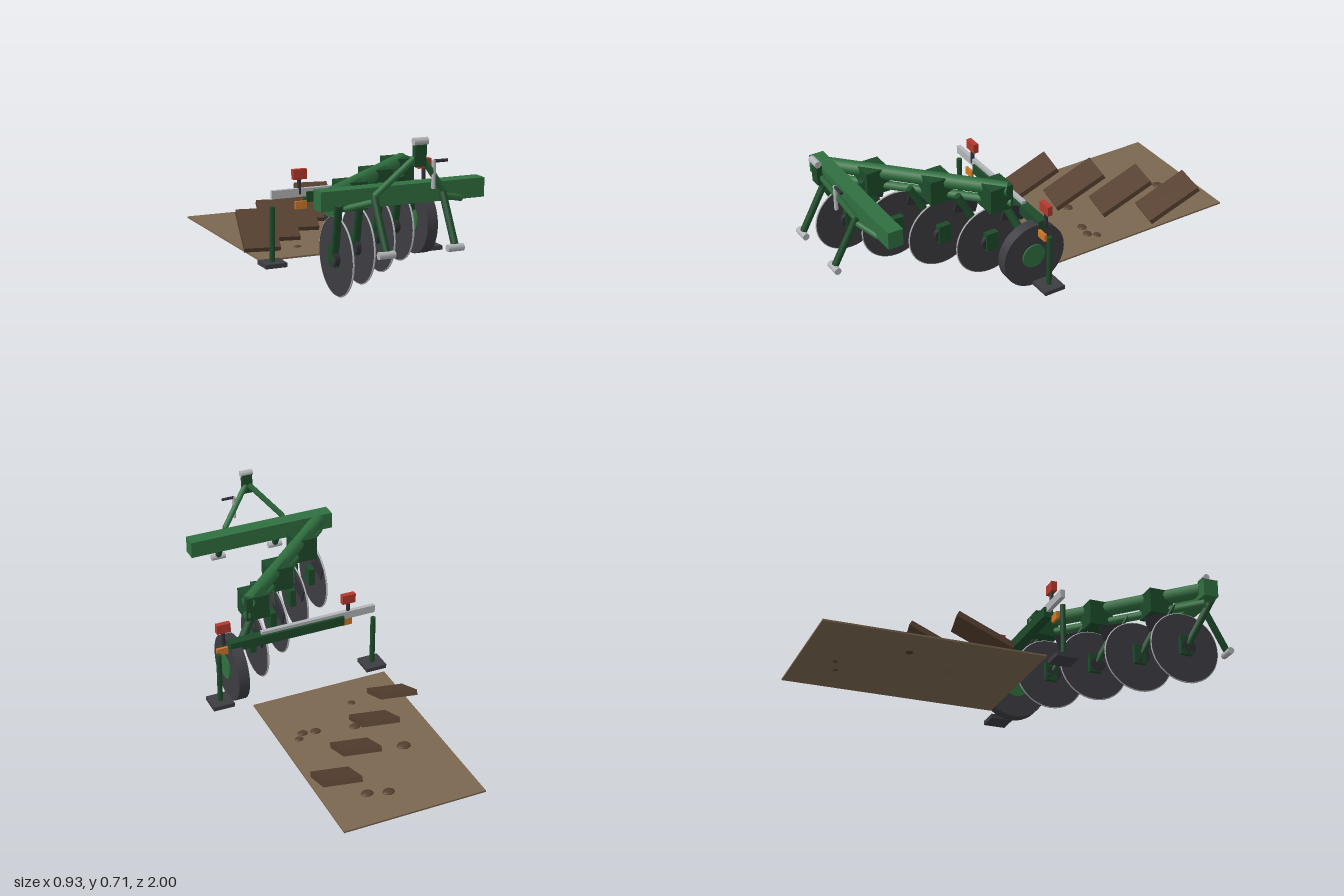
import * as THREE from 'three';

const mat = (name, color) => {
  const m = new THREE.MeshStandardMaterial({ color });
  m.name = name;
  return m;
};

export function createModel() {
  const root = new THREE.Group();
  root.name = 'discPlough';
  const green = mat('frame green', 0x2f6f3f), darkGreen = mat('dark green', 0x1d4a2a);
  const steel = mat('bare steel', 0xb2b5b8), discGrey = mat('disc grey', 0x3d3c42);
  const black = mat('dark iron', 0x2f2e35), red = mat('lamp red', 0xb5382c);
  const orange = mat('reflector orange', 0xd07828);
  const soil = mat('soil', 0x7b6750), turned = mat('turned soil', 0x553f2f);

  const add = (name, geo, m, x = 0, y = 0, z = 0) => {
    const mesh = new THREE.Mesh(geo, m);
    mesh.name = name;
    mesh.position.set(x, y, z);
    root.add(mesh);
    return mesh;
  };
  const box = (name, m, w, h, d, x, y, z) => add(name, new THREE.BoxGeometry(w, h, d), m, x, y, z);
  // round bar between two points
  const rod = (name, m, a, b, r, sides = 12) => {
    const p = new THREE.Vector3(...a), q = new THREE.Vector3(...b);
    const dir = q.clone().sub(p);
    const mesh = add(name, new THREE.CylinderGeometry(r, r, dir.length(), sides), m);
    mesh.position.copy(p).add(q).multiplyScalar(0.5);
    mesh.quaternion.setFromUnitVectors(new THREE.Vector3(0, 1, 0), dir.normalize());
    return mesh;
  };
  // cylinder lying along x
  const axle = (name, m, r, len, x, y, z, sides = 24) =>
    rod(name, m, [x - len / 2, y, z], [x + len / 2, y, z], r, sides);

  // field patch, furrow slices and clods
  box('soilPatch', soil, 0.68, 0.008, 1, -0.06, 0.004, -0.5);
  for (let i = 0; i < 4; i++) {
    const s = box('furrowSlice', turned, 0.172, 0.025, 0.28, -0.308 + i * 0.168, 0.085, -0.262 - i * 0.158);
    s.rotation.set(0.5, -0.2, 0, 'YXZ');
  }
  const clods = [[-0.01, -0.835, 0.03], [0.08, -0.808, 0.03], [-0.22, -0.566, 0.035], [0.1, -0.306, 0.027],
    [0.16, -0.296, 0.026], [0.192, -0.33, 0.022], [-0.145, -0.17, 0.02], [-0.08, -0.345, 0.028]];
  for (const [x, z, r] of clods) {
    const c = add('clod', new THREE.SphereGeometry(r, 12, 8), turned, x, 0.008, z);
    c.scale.set(0.95, 0.3, 0.8);
  }

  // headstock and diagonal frame
  box('headstockBeam', green, 0.755, 0.083, 0.072, -0.0875, 0.444, 0.788);
  rod('diagonalBeam', green, [-0.4, 0.455, 0.77], [0.222, 0.455, 0.185], 0.034, 10);
  rod('lowerTieBar', green, [-0.41, 0.39, 0.785], [0.235, 0.39, 0.175], 0.02, 8);
  for (const z of [0.62, 0.415, 0.225])
    box('beamClamp', darkGreen, 0.115, 0.12, 0.115, -0.4 + (0.77 - z) * 1.063, 0.42, z);

  // disc stations
  for (let i = 0; i < 4; i++) {
    const x = -0.34 + i * 0.1685, y = 0.18, z = 0.703 - i * 0.15;
    axle('disc', discGrey, 0.167, 0.008, x, y, z, 40);
    const rim = add('discRim', new THREE.TorusGeometry(0.167, 0.0045, 6, 40), steel, x, y, z);
    rim.rotation.y = Math.PI / 2;
    rod('discLeg', darkGreen, [x - 0.05, 0.43, z + 0.13], [x - 0.012, 0.19, z + 0.01], 0.017);
    box('bearingHousing', darkGreen, 0.06, 0.09, 0.06, x + 0.005, 0.185, z);
    axle('discHub', black, 0.035, 0.05, x, 0.176, z + 0.012, 20);
    const scraper = box('scraper', black, 0.008, 0.07, 0.12, x + 0.029, 0.3, z - 0.115);
    scraper.rotation.x = -0.3;
    rod('scraperArm', darkGreen, [x + 0.029, 0.31, z - 0.08], [x + 0.025, 0.4, z - 0.03], 0.008, 8);
  }

  // three-point hitch, mirrored about its own centre line
  const cx = -0.0885;
  for (const s of [-1, 1]) {
    const ax = cx + s * 0.157;
    rod('mastStrut', green, [ax, 0.46, 0.868], [cx + s * 0.008, 0.63, 0.952], 0.014);
    rod('mastBrace', green, [ax, 0.435, 0.866], [cx + s * 0.27, 0.405, 0.815], 0.014);
    rod('lowerLink', darkGreen, [ax, 0.455, 0.862], [ax, 0.25, 0.975], 0.016);
    axle('lowerLinkPin', steel, 0.016, 0.073, ax, 0.238, 0.98, 16);
  }
  box('mastHead', darkGreen, 0.052, 0.1, 0.025, cx, 0.636, 0.957);
  axle('topLinkPin', steel, 0.016, 0.063, cx, 0.69, 0.963, 16);
  rod('crankScrew', steel, [-0.003, 0.48, 0.918], [-0.003, 0.598, 0.918], 0.009);
  axle('crankHandle', black, 0.007, 0.062, 0.029, 0.594, 0.918, 12);

  // furrow wheel
  axle('wheelTyre', discGrey, 0.158, 0.053, 0.332, 0.158, 0.131, 36);
  axle('wheelHub', green, 0.058, 0.068, 0.332, 0.16, 0.137, 28);
  rod('wheelArm', darkGreen, [0.19, 0.39, 0.2], [0.315, 0.2, 0.137], 0.02);

  // rear bar with lamps, reflectors and parking stands
  box('rearBar', darkGreen, 0.575, 0.047, 0.045, 0.072, 0.307, 0.087);
  box('slidingBar', steel, 0.58, 0.038, 0.02, -0.09, 0.327, 0.087);
  for (const x of [0.386, -0.245]) {
    box('lamp', red, 0.067, 0.046, 0.025, x, 0.412, 0.09);
    rod('lampPost', black, [x, 0.32, 0.09], [x, 0.39, 0.09], 0.009);
    box('reflector', orange, 0.056, 0.036, 0.012, x, 0.273, 0.108);
  }
  for (const x of [0.412, -0.377]) {
    box('standFoot', discGrey, 0.104, 0.02, 0.104, x, 0.01, 0.087);
    rod('standPost', darkGreen, [x, 0.02, 0.087], [x, 0.272, 0.087], 0.0125);
  }
  return root;
}
